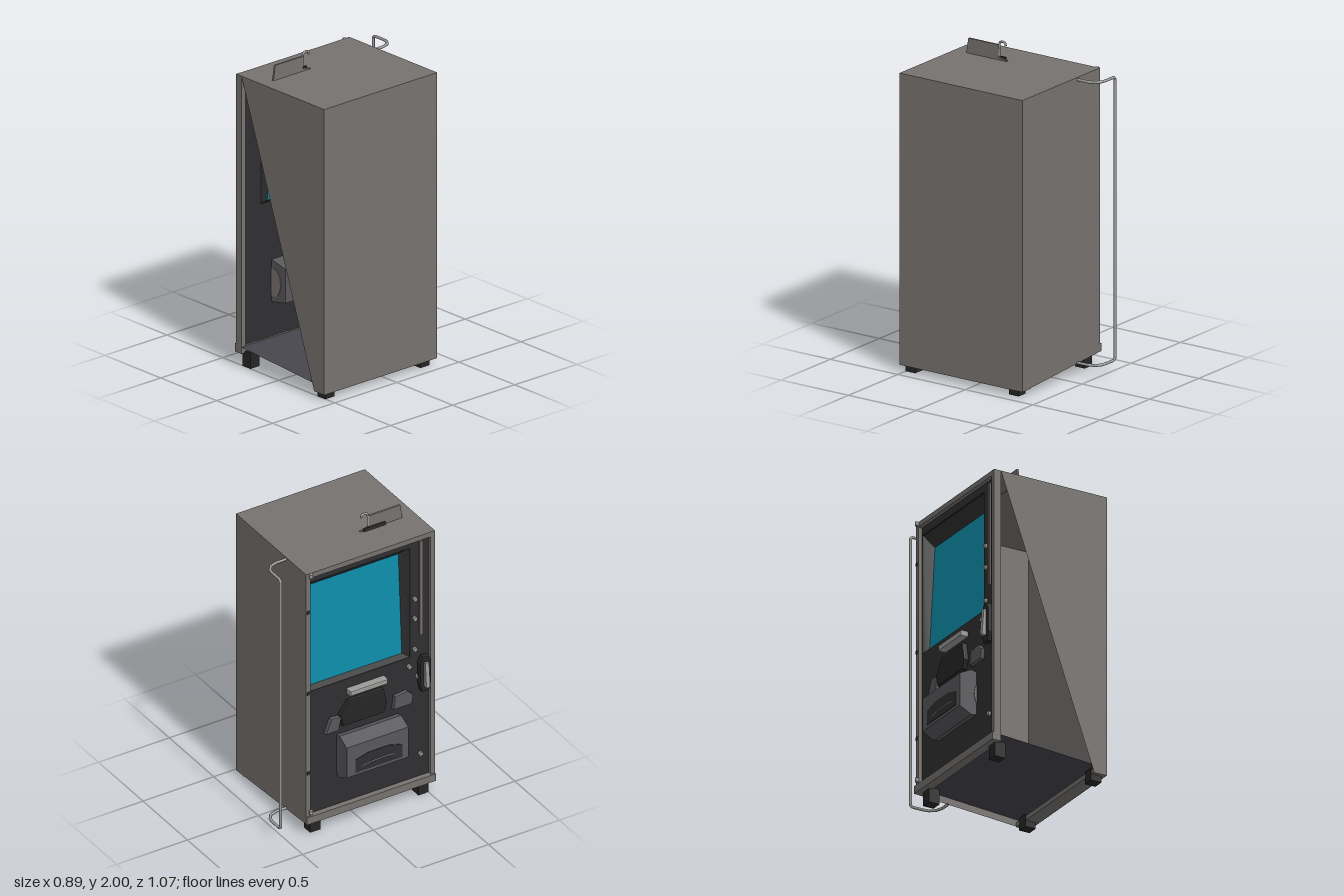
import * as THREE from 'three';

const mat = (name, color, side = THREE.FrontSide) => {
  const m = new THREE.MeshStandardMaterial({ color, side });
  m.name = name;
  return m;
};

export function createModel() {
  const root = new THREE.Group();
  root.name = 'vendingCabinet';
  const D = THREE.DoubleSide;
  const body = mat('warm grey steel', 0x76726f, D);
  const dark = mat('dark panel', 0x2f2f31, D);
  const floorMat = mat('slate floor', 0x45454c, D);
  const glass = mat('teal glass', 0x0c8ca8, D);
  const chuteMat = mat('chute grey', 0x58585c);
  const steel = mat('bright steel', 0x9a9a98);
  const black = mat('black rubber', 0x262627);

  const add = (name, geo, m) => {
    const mesh = new THREE.Mesh(geo, m);
    mesh.name = name;
    root.add(mesh);
    return mesh;
  };
  // box given by its limits on each axis
  const box = (name, m, x0, x1, y0, y1, z0, z1) => {
    const b = add(name, new THREE.BoxGeometry(x1 - x0, y1 - y0, z1 - z0), m);
    b.position.set((x0 + x1) / 2, (y0 + y1) / 2, (z0 + z1) / 2);
    return b;
  };
  // flat polygon fan through 3D corners
  const face = (name, m, ...pts) => {
    const g = new THREE.BufferGeometry();
    g.setAttribute('position', new THREE.Float32BufferAttribute(pts.flat(), 3));
    const idx = [];
    for (let i = 1; i < pts.length - 1; i++) idx.push(0, i, i + 1);
    g.setIndex(idx);
    g.computeVertexNormals();
    return add(name, g, m);
  };
  const shape = (pts) => new THREE.Shape(pts.map((p) => new THREE.Vector2(...p)));
  const extrude = (s, depth, bevel = 0) => new THREE.ExtrudeGeometry(s, {
    depth, bevelEnabled: bevel > 0, bevelSize: bevel, bevelThickness: bevel, bevelOffset: -bevel, bevelSegments: 2,
  });
  // outline in (z, y), raised towards the door front (-x)
  const doorPart = (name, m, pts, x, depth, bevel = 0) => {
    const g = extrude(shape(pts), depth, bevel);
    g.rotateY(-Math.PI / 2);
    g.translate(x, 0, 0);
    return add(name, g, m);
  };
  const rect = (z0, z1, y0, y1) => [[z0, y0], [z1, y0], [z1, y1], [z0, y1]];
  const tube = (name, m, pts, r, tension = 0.5) => add(name, new THREE.TubeGeometry(
    new THREE.CatmullRomCurve3(pts.map((p) => new THREE.Vector3(...p)), false, 'catmullrom', tension), 90, r, 8), m);

  // cabinet shell, with one side panel cut along its diagonal
  const X0 = -0.34, X1 = 0.44, Z0 = -0.38, Z1 = 0.53, T = 1.875;
  face('topPanel', body, [X0, T, Z0], [X0, T, Z1], [X1, T, Z1], [X1, T, Z0]);
  face('rearPanel', body, [X1, 0.04, Z1], [X1, 0.04, Z0], [X1, T, Z0], [X1, T, Z1]);
  face('pipeSidePanel', body, [X1, 0.04, Z0], [X0, 0.09, Z0], [X0, T, Z0], [X1, T, Z0]);
  face('cutSidePanel', body, [0.35, 0.04, Z1], [X1, 0.04, Z1], [X1, T, Z1], [-0.3, T, Z1]);
  face('floorPanel', floorMat, [-0.34, 0.135, Z1], [X1, 0.085, Z1], [X1, 0.085, Z0], [-0.34, 0.135, Z0]);
  box('rearSill', body, 0.35, X1 - 0.002, 0.04, 0.07, Z0 + 0.002, Z1 - 0.002);

  // door frame
  for (const [z0, z1] of [[Z0, Z0 + 0.03], [Z1 - 0.03, Z1]]) box('doorPost', body, -0.348, -0.3, 0.09, T, z0, z1);
  box('doorHeader', body, -0.348, -0.3, T - 0.035, T - 0.001, Z0, Z1);
  box('doorSill', body, -0.36, -0.3, 0.09, 0.14, Z0, Z1);

  // door panel with a window opening
  const W = { z0: -0.345, z1: 0.37, y0: 1.01, y1: 1.79 };
  const panel = shape(rect(Z0 + 0.02, Z1 - 0.02, 0.13, T - 0.02));
  panel.holes.push(new THREE.Path(rect(W.z0, W.z1, W.y0, W.y1).map((p) => new THREE.Vector2(...p))));
  const panelGeo = extrude(panel, 0.02);
  panelGeo.rotateY(-Math.PI / 2);
  panelGeo.translate(-0.303, 0, 0);
  add('doorPanel', panelGeo, dark);

  // sloping window reveal and tilted glass
  const outer = rect(W.z0, W.z1, W.y0, W.y1).map(([z, y]) => [-0.315, y, z]);
  const inner = rect(-0.325, 0.335, 1.03, 1.72).map(([z, y]) => [y > 1.5 ? -0.247 : -0.285, y, z]);
  for (let i = 0; i < 4; i++) {
    const j = (i + 1) % 4;
    face('windowReveal', dark, outer[i], outer[j], inner[j], inner[i]);
  }
  face('windowGlass', glass, ...inner);

  // vend chute passing through the door
  const chute = extrude(shape([[-0.44, 0.39], [-0.36, 0.35], [-0.18, 0.385], [-0.18, 0.605], [-0.36, 0.645], [-0.44, 0.605]]), 0.435);
  chute.translate(0, 0, -0.15);
  add('vendChute', chute, chuteMat);
  const cap = add('chuteEndDisc', new THREE.CylinderGeometry(1, 1, 0.006, 32), body);
  cap.rotation.x = Math.PI / 2;
  cap.scale.set(0.06, 1, 0.09);
  cap.position.set(-0.28, 0.49, 0.286);
  doorPart('chuteOpening', dark, [[-0.09, 0.41], [0.24, 0.41], [0.24, 0.5], [0.15, 0.525], [0, 0.525], [-0.09, 0.5]], -0.438, 0.006);
  tube('chuteLip', chuteMat, [[-0.435, 0.43, -0.08], [-0.438, 0.45, 0], [-0.438, 0.455, 0.15], [-0.435, 0.44, 0.23]], 0.008);

  // control pockets above the chute
  doorPart('changePocket', black, [[-0.12, 0.7], [0.17, 0.7], [0.19, 0.76], [0.17, 0.87], [-0.08, 0.87], [-0.14, 0.78]], -0.32, 0.025, 0.008);
  doorPart('pocketFace', chuteMat, rect(-0.06, 0.13, 0.73, 0.82), -0.344, 0.005);
  doorPart('sidePocket', chuteMat, [[-0.24, 0.68], [-0.15, 0.68], [-0.13, 0.77], [-0.2, 0.78]], -0.32, 0.025, 0.006);
  doorPart('coinReturn', chuteMat, [[0.24, 0.69], [0.37, 0.69], [0.38, 0.75], [0.34, 0.79], [0.25, 0.78]], -0.32, 0.022, 0.006);
  doorPart('slotBar', steel, rect(-0.08, 0.185, 0.91, 0.945), -0.32, 0.045, 0.008);
  face('pocketBack', dark, [-0.302, 0.87, 0.1], [-0.27, 0.865, 0.1], [-0.302, 0.71, 0.1]);
  box('pocketBlock', dark, -0.303, -0.275, 0.78, 0.866, -0.1, 0.1);

  // raised strip and buttons on the control column
  doorPart('columnStrip', body, rect(0.435, 0.455, 1.15, 1.82), -0.322, 0.012);
  for (const [y, z] of [[1.42, 0.4], [1.28, 0.4], [1.06, 0.4], [0.95, 0.36], [0.86, 0.42], [0.3, 0.44]]) {
    const b = add('button', new THREE.CylinderGeometry(0.014, 0.014, 0.02, 12), steel);
    b.rotation.z = Math.PI / 2;
    b.position.set(-0.33, y, z);
  }

  // lock handle
  doorPart('lockPlate', black, [[0.43, 0.76], [0.48, 0.76], [0.495, 0.82], [0.495, 0.97], [0.475, 1.01], [0.435, 1.01], [0.415, 0.97], [0.415, 0.82]], -0.335, 0.025, 0.006);
  const grip = box('lockHandle', steel, -0.388, -0.362, 0.8, 0.97, 0.442, 0.468);
  grip.rotation.z = -0.08;

  // hinges and frame studs
  for (const y of [0.17, 1.86]) {
    const h = add('hinge', new THREE.CylinderGeometry(0.012, 0.012, 0.025, 12), steel);
    h.position.set(-0.358, y, -0.35);
  }
  for (const y of [0.45, 1.02, 1.6]) box('frameStud', dark, -0.354, -0.345, y - 0.01, y + 0.01, -0.375, -0.355);

  // bent pipe along the side
  const half = [[-0.12, 1.86, -0.37], [-0.12, 1.86, -0.45], [-0.137, 1.86, -0.497], [-0.17, 1.86, -0.522], [-0.205, 1.86, -0.528], [-0.285, 1.86, -0.528], [-0.296, 1.848, -0.528], [-0.296, 1.8, -0.528]];
  const low = half.map(([x, y, z]) => [x, 1.94 - y, z]).reverse();
  const pipe = new THREE.CurvePath();
  const pts = [...half, ...low].map((p) => new THREE.Vector3(...p));
  for (let i = 0; i < pts.length - 1; i++) pipe.add(new THREE.LineCurve3(pts[i], pts[i + 1]));
  add('sidePipe', new THREE.TubeGeometry(pipe, 400, 0.009, 8), steel);

  // upright fin and hook on the roof
  const fin = extrude(shape([[0.14, 1.872], [0.44, 1.872], [0.425, 1.97], [0.205, 1.97], [0.2, 1.89], [0.14, 1.88]]), 0.012);
  fin.rotateY(-Math.PI / 2);
  fin.translate(-0.114, 0, 0);
  add('roofFin', fin, body);
  box('finBracket', dark, -0.138, -0.126, T, T + 0.02, 0.16, 0.315);
  tube('roofHook', steel, [[-0.12, 1.9, 0.2], [-0.12, 1.96, 0.2], [-0.12, 1.985, 0.194], [-0.12, 1.993, 0.175], [-0.12, 1.987, 0.157], [-0.12, 1.97, 0.152]], 0.007);

  // feet
  for (const [x, top] of [[-0.288, 0.1], [0.383, 0.08]]) {
    for (const z of [-0.3, 0.465]) box('foot', black, x - 0.036, x + 0.036, 0, top, z - 0.036, z + 0.036);
  }
  return root;
}
